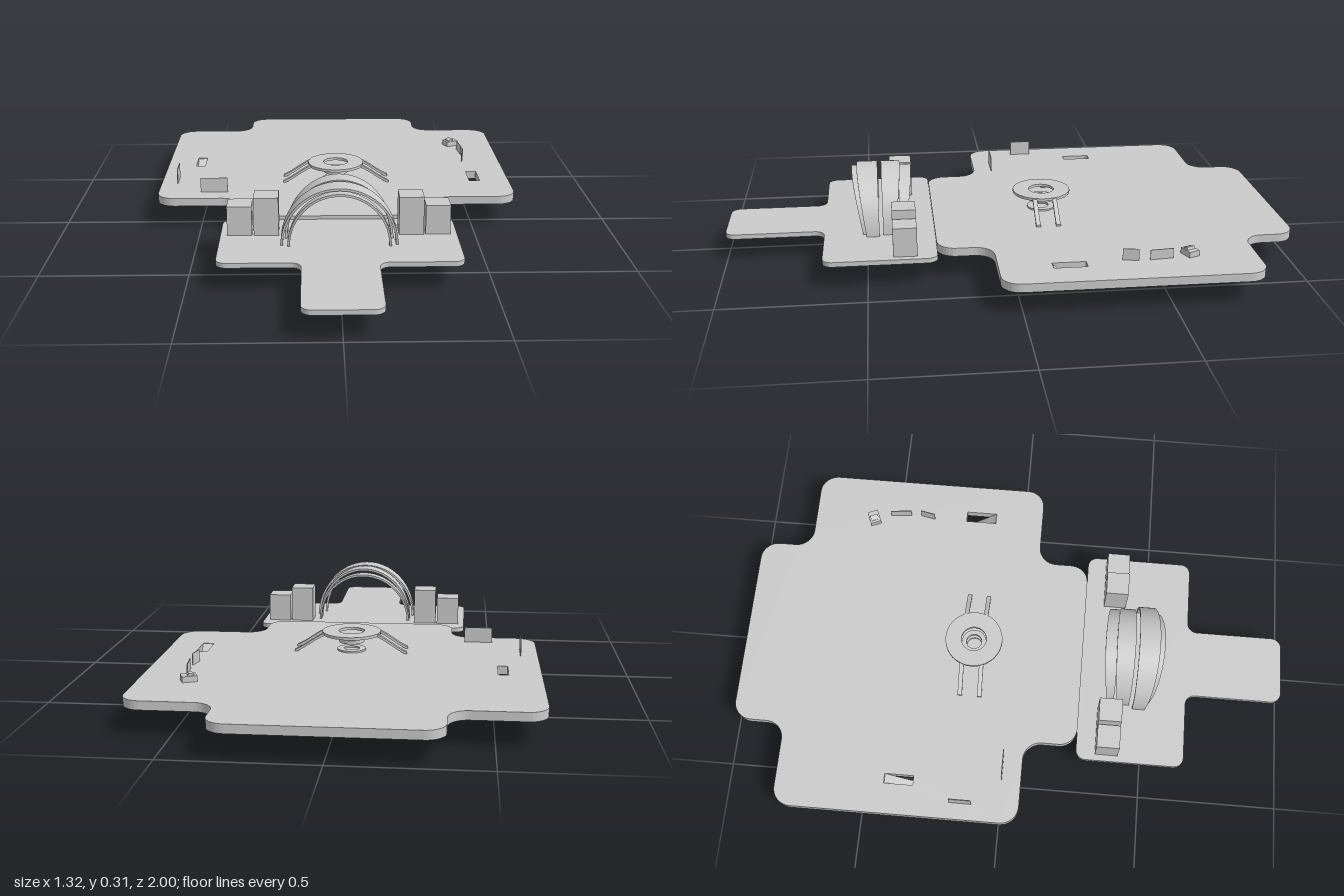
import * as THREE from 'three';

const grey = () => new THREE.MeshStandardMaterial({ color: 0xcccccc, side: THREE.DoubleSide });

// Rounded polygon from [x, z] corners, drawn for extrusion upwards
function roundedPath(path, corners, r) {
  const pts = corners.map(([x, z]) => new THREE.Vector2(x, -z));
  const n = pts.length;
  pts.forEach((p, i) => {
    const toward = (q) => p.clone().add(q.clone().sub(p).setLength(r));
    const a = toward(pts[(i + n - 1) % n]);
    const b = toward(pts[(i + 1) % n]);
    if (i === 0) path.moveTo(a.x, a.y);
    else path.lineTo(a.x, a.y);
    // cubic handles close to a quarter circle
    const c = a.clone().lerp(p, 0.55), d = b.clone().lerp(p, 0.55);
    path.bezierCurveTo(c.x, c.y, d.x, d.y, b.x, b.y);
  });
  path.closePath();
  return path;
}

export function createModel() {
  const model = new THREE.Group();
  const material = grey();

  function add(name, geometry, x = 0, y = 0, z = 0, parent = model) {
    const mesh = new THREE.Mesh(geometry, material);
    mesh.name = name;
    mesh.position.set(x, y, z);
    parent.add(mesh);
    return mesh;
  }

  function plate(name, corners, radius, y0, y1, holes = []) {
    const shape = roundedPath(new THREE.Shape(), corners, radius);
    for (const [xa, xb, za, zb] of holes) {
      shape.holes.push(roundedPath(new THREE.Path(), [[xa, za], [xb, za], [xb, zb], [xa, zb]], 0.002));
    }
    const g = new THREE.ExtrudeGeometry(shape, { depth: y1 - y0, bevelEnabled: false, curveSegments: 8 });
    g.rotateX(-Math.PI / 2);
    return add(name, g, 0, y0, 0);
  }

  // Main floor: wide slab with a tab at each end and two floor openings
  plate('mainFloor', [
    [-0.355, 0.26], [0.355, 0.26], [0.355, 0.07], [0.66, 0.07], [0.66, -0.81], [0.355, -0.81],
    [0.355, -1], [-0.355, -1], [-0.355, -0.81], [-0.66, -0.81], [-0.66, 0.07], [-0.355, 0.07],
  ], 0.065, 0.09, 0.12, [[-0.55, -0.515, -0.42, -0.315], [0.51, 0.55, -0.225, -0.11]]);

  // Entrance floor with its walkway
  plate('entranceFloor', [
    [-0.125, 1], [0.125, 1], [0.125, 0.65], [0.4, 0.65], [0.4, 0.26],
    [-0.4, 0.26], [-0.4, 0.65], [-0.125, 0.65],
  ], 0.035, 0.09, 0.107);

  // Sloped chutes under the floor openings
  function slab(name, x, width, zTop, yTop, zLow, yLow) {
    const length = Math.hypot(zTop - zLow, yTop - yLow);
    const m = add(name, new THREE.BoxGeometry(width, 0.005, length), x, (yTop + yLow) / 2, (zTop + zLow) / 2);
    m.rotation.x = -Math.atan2(yTop - yLow, zTop - zLow);
  }
  slab('rightChute', -0.533, 0.036, -0.42, 0.115, -0.28, 0.005);
  slab('leftChute', 0.532, 0.036, -0.11, 0.117, -0.185, 0.043);

  // Arched canopy: bands that widen towards their crown
  const arches = new THREE.Group();
  arches.name = 'archedCanopy';
  model.add(arches);
  // half width, crown height, then inner and outer z at the foot and at the crown
  const bands = [
    [0.195, 0.313, 0.455, 0.455, 0.5, 0.53],
    [0.172, 0.3, 0.5, 0.515, 0.512, 0.548],
    [0.182, 0.313, 0.442, 0.442, 0.4, 0.375],
    [0.18, 0.297, 0.385, 0.38, 0.365, 0.335],
  ];
  for (const [rx, top, in0, in1, out0, out1] of bands) {
    const g = new THREE.BoxGeometry(1, 1, 1, 36, 1, 6);
    const p = g.attributes.position;
    const front = out0 > in0;
    for (let i = 0; i < p.count; i++) {
      const angle = Math.PI * (0.5 - p.getX(i));
      const inset = (0.5 - p.getY(i)) * 0.008;
      const rise = Math.sin(angle);
      const a = in0 + (in1 - in0) * rise;
      const b = out0 + (out1 - out0) * rise;
      const t = front ? p.getZ(i) + 0.5 : 0.5 - p.getZ(i);
      p.setXYZ(i, Math.cos(angle) * (rx - inset), 0.105 + rise * (top - 0.105 - inset), a + (b - a) * t);
    }
    g.computeVertexNormals();
    add('archBand', g, 0, 0, 0, arches);
  }

  // Booths on both sides of the canopy
  for (const s of [-1, 1]) {
    for (const [name, x, top] of [['innerBooth', 0.245, 0.24], ['outerBooth', 0.335, 0.21]]) {
      add(name, new THREE.BoxGeometry(0.084, top - 0.105, 0.082), s * x, (top + 0.105) / 2, 0.37);
    }
  }

  // Round centrepiece: stacked rings below a flat annular deck
  const centre = new THREE.Group();
  centre.name = 'centrepiece';
  centre.position.z = -0.145;
  model.add(centre);
  function ring(name, inner, outer, y0, y1) {
    const profile = [[inner, y0], [outer, y0], [outer, y1], [inner, y1], [inner, y0]];
    // separate strips keep the rims sharp
    for (let i = 0; i < 4; i++) {
      const pts = [profile[i], profile[i + 1]].map(([x, y]) => new THREE.Vector2(x, y));
      add(name, new THREE.LatheGeometry(pts, 40), 0, 0, 0, centre);
    }
  }
  ring('deckRing', 0.046, 0.105, 0.18, 0.19);
  ring('middleRing', 0.028, 0.045, 0.15, 0.163);
  ring('baseRing', 0.028, 0.051, 0.115, 0.126);

  // Ramps leading down from the deck
  for (const sx of [-1, 1]) {
    for (const sz of [-1, 1]) {
      const g = new THREE.BoxGeometry(1, 0.01, 0.016, 12, 1, 1);
      const p = g.attributes.position;
      for (let i = 0; i < p.count; i++) {
        const t = p.getX(i) + 0.5;
        const along = sx > 0 ? t : 1 - t;
        const drop = along * along * (3 - 2 * along) * 0.35 + along * 0.65;
        p.setXYZ(i, sx * (0.09 + 0.11 * along), p.getY(i) + 0.185 - 0.063 * drop, p.getZ(i) + sz * 0.036);
      }
      g.computeVertexNormals();
      add('ramp', g, 0, 0, 0, centre);
    }
  }

  // Thin upright panels on the main floor
  add('rightFrontPanel', new THREE.BoxGeometry(0.1, 0.056, 0.003), -0.453, 0.147, 0.0);
  add('rightSidePanel', new THREE.BoxGeometry(0.003, 0.056, 0.08), -0.6, 0.147, -0.14);
  add('leftSmallPanel', new THREE.BoxGeometry(0.003, 0.042, 0.055), 0.515, 0.14, -0.375).rotation.y = -0.2;
  add('leftLongPanel', new THREE.BoxGeometry(0.003, 0.036, 0.08), 0.515, 0.137, -0.48).rotation.y = 0.1;

  // Small tilted seat at the left side
  const seat = new THREE.Group();
  seat.name = 'smallSeat';
  seat.position.set(0.49, 0.12, -0.583);
  seat.rotation.y = 0.4;
  model.add(seat);
  add('seatBlock', new THREE.BoxGeometry(0.05, 0.02, 0.04), 0, 0.01, 0, seat);
  add('seatBack', new THREE.BoxGeometry(0.02, 0.012, 0.03), -0.005, 0.021, 0, seat).rotation.z = 0.3;

  return model;
}
